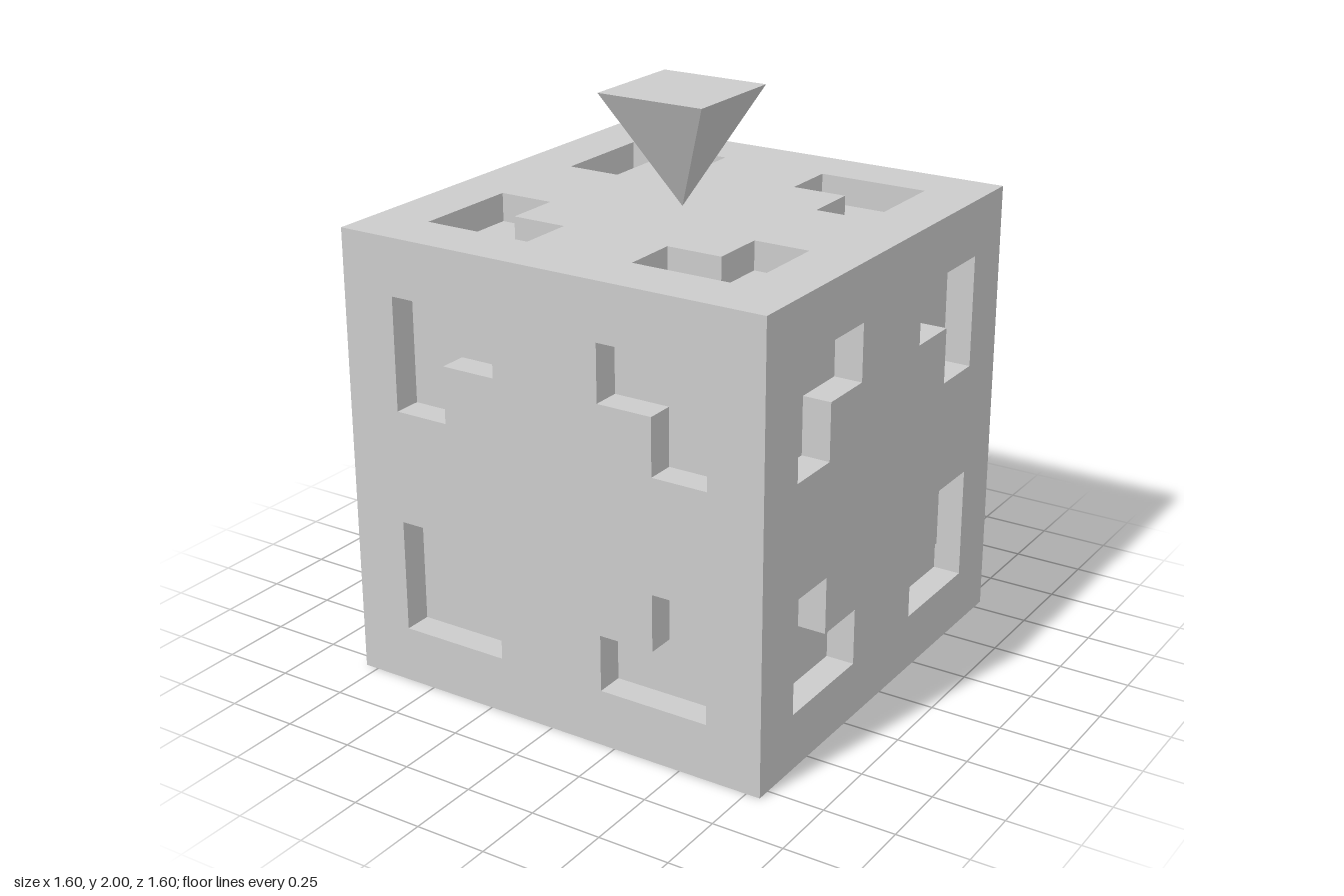
import * as THREE from 'three';

const HALF = 0.8;   // half the cube's edge
const DEPTH = 0.1;  // depth of the corner pockets

const shellMaterial = new THREE.MeshStandardMaterial({ color: 0xcccccc, flatShading: true, side: THREE.DoubleSide });
const solidMaterial = new THREE.MeshStandardMaterial({ color: 0xcccccc, flatShading: true });

function part(name, geometry, material = shellMaterial) {
  const mesh = new THREE.Mesh(geometry, material);
  mesh.name = name;
  return mesh;
}

// L-shaped pocket outline, counter-clockwise, mirrored into one corner of a face
function pocketOutline(sx, sy) {
  const corners = [[0.2, 0.6], [0.2, 0.4], [0.4, 0.4], [0.4, 0.2], [0.6, 0.2], [0.6, 0.6]];
  const points = corners.map(([x, y]) => new THREE.Vector2(x * sx, y * sy));
  return sx * sy < 0 ? points.reverse() : points;
}

// Band of walls running round a pocket, facing into it
function pocketWalls(outline) {
  const positions = [];
  outline.forEach((a, i) => {
    const b = outline[(i + 1) % outline.length];
    positions.push(a.x, a.y, 0, b.x, b.y, 0, a.x, a.y, -DEPTH);
    positions.push(b.x, b.y, 0, b.x, b.y, -DEPTH, a.x, a.y, -DEPTH);
  });
  const geometry = new THREE.BufferGeometry();
  geometry.setAttribute('position', new THREE.Float32BufferAttribute(positions, 3));
  geometry.computeVertexNormals();
  return geometry;
}

// One square face with four recessed pockets, facing +z
function createFace(name) {
  const face = new THREE.Group();
  face.name = name;
  const panel = new THREE.Shape([[-1, -1], [1, -1], [1, 1], [-1, 1]].map(
    ([x, y]) => new THREE.Vector2(x * HALF, y * HALF)));
  for (const sx of [-1, 1]) {
    for (const sy of [-1, 1]) {
      const outline = pocketOutline(sx, sy);
      panel.holes.push(new THREE.Path(outline));
      const floor = new THREE.ShapeGeometry(new THREE.Shape(outline)).translate(0, 0, -DEPTH);
      face.add(part('pocketFloor', floor), part('pocketWalls', pocketWalls(outline)));
    }
  }
  face.add(part('panel', new THREE.ShapeGeometry(panel)));
  return face;
}

export function createModel() {
  const model = new THREE.Group();
  model.name = 'cubeWithPointer';

  // Four side faces; the underside of the shell is open
  ['frontFace', 'leftFace', 'backFace', 'rightFace'].forEach((name, i) => {
    const angle = i * Math.PI / 2;
    const face = createFace(name);
    face.rotation.y = angle;
    face.position.set(Math.sin(angle) * HALF, HALF, Math.cos(angle) * HALF);
    model.add(face);
  });

  // Top face
  const top = createFace('topFace');
  top.rotation.x = -Math.PI / 2;
  top.position.y = 2 * HALF;
  model.add(top);

  // Upside-down square pyramid balanced on its tip
  const pyramid = new THREE.ConeGeometry(0.2 * Math.SQRT2, 0.4, 4).rotateY(Math.PI / 4).rotateX(Math.PI);
  const pointer = part('pointer', pyramid, solidMaterial);
  pointer.position.y = 1.8;
  model.add(pointer);

  return model;
}
